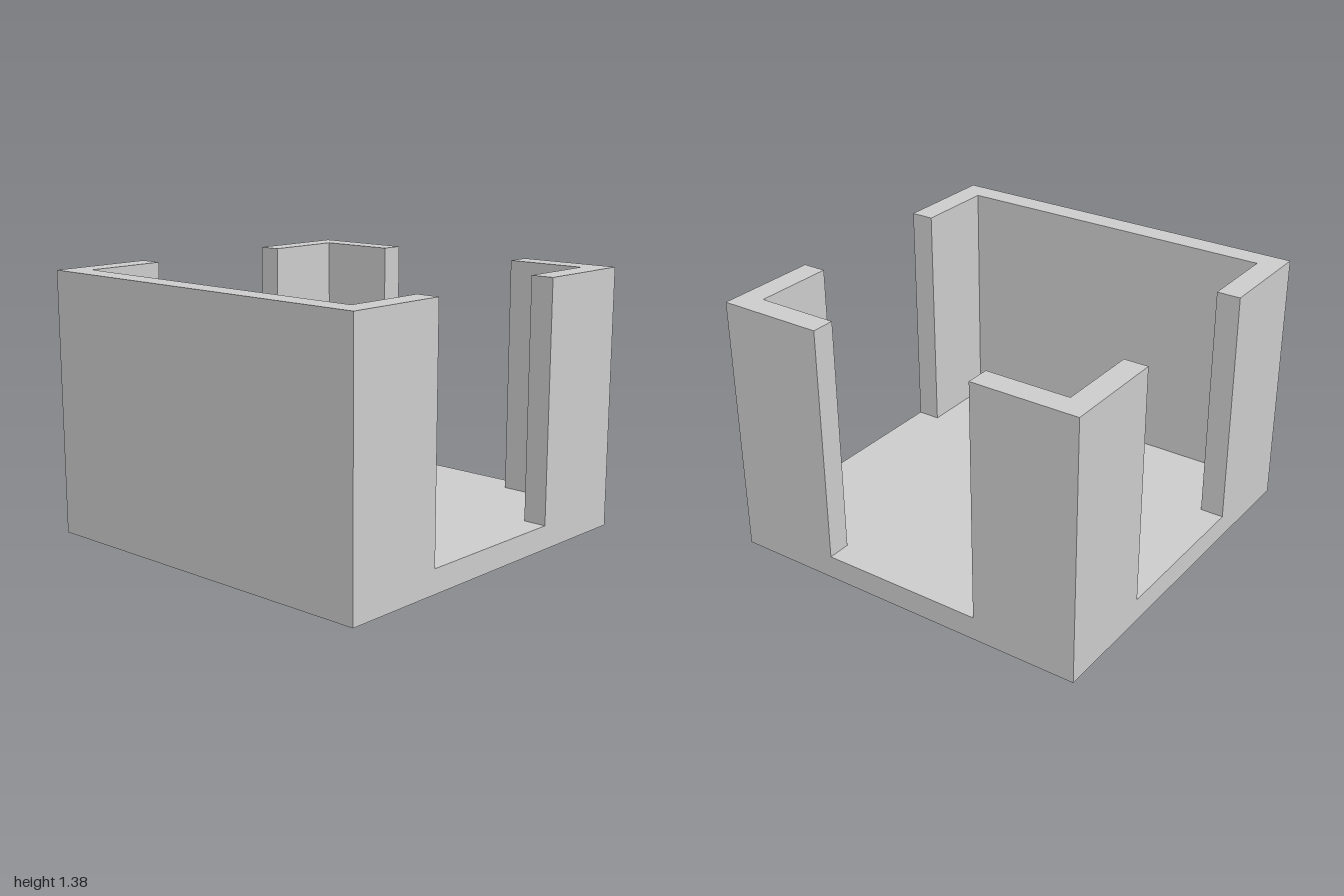
import * as THREE from 'three';

const HALF = 1;        // half of the square footprint
const INNER = 0.875;   // inner face of the walls
const GAP = 0.44;      // half width of each opening
const FLOOR = 0.125;   // floor thickness
const HEIGHT = 1.375;  // overall height

const material = new THREE.MeshStandardMaterial({ color: 0xcccccc, flatShading: true });

// Raises a wall from its floor-plan outline, given as [x, -z] points.
function wall(name, outline) {
  const shape = new THREE.Shape(outline.map(([x, y]) => new THREE.Vector2(x, y)));
  const geometry = new THREE.ExtrudeGeometry(shape, { depth: HEIGHT - FLOOR, bevelEnabled: false });
  geometry.rotateX(-Math.PI / 2);
  const mesh = new THREE.Mesh(geometry, material);
  mesh.name = name;
  mesh.position.y = FLOOR;
  return mesh;
}

export function createModel() {
  const model = new THREE.Group();
  model.name = 'openBox';

  // Square floor slab
  const floor = new THREE.Mesh(new THREE.BoxGeometry(2 * HALF, FLOOR, 2 * HALF), material);
  floor.name = 'floor';
  floor.position.y = FLOOR / 2;
  model.add(floor);

  // Full side wall with a short return at each end
  model.add(wall('sideWall', [
    [-HALF, -HALF], [-GAP, -HALF], [-GAP, -INNER], [-INNER, -INNER],
    [-INNER, INNER], [-GAP, INNER], [-GAP, HALF], [-HALF, HALF],
  ]));

  // L-shaped corner walls on the open side, mirrored front to back
  for (const [name, s] of [['frontCornerWall', -1], ['backCornerWall', 1]]) {
    model.add(wall(name, [
      [GAP, s * HALF], [HALF, s * HALF], [HALF, s * GAP],
      [INNER, s * GAP], [INNER, s * INNER], [GAP, s * INNER],
    ]));
  }

  return model;
}
